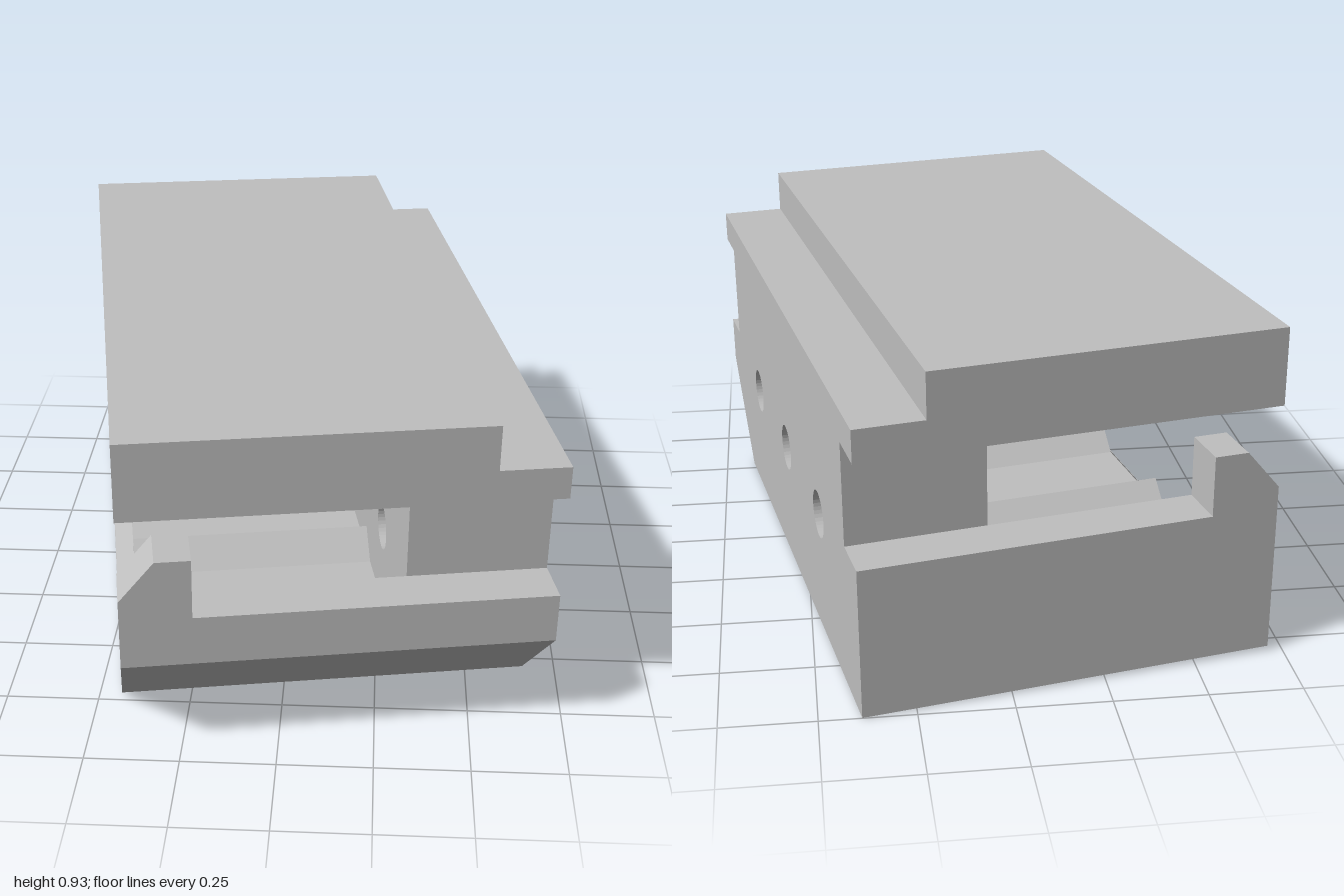
import * as THREE from 'three';

export function createModel() {
  const model = new THREE.Group();
  const body = new THREE.Group();
  body.name = 'enclosure';
  const grey = new THREE.MeshStandardMaterial({ color: 0xbfbfbf });
  grey.name = 'grey';

  // Half length, inner half length, and stations across the width
  const L = 0.92, IN = 0.788;
  const LEFT = -0.558, LIP = -0.505, WALL = 0.186, STEP = 0.375, RIGHT = 0.558;

  const toShape = pts => new THREE.Shape(pts.map(p => new THREE.Vector2(...p)));
  const add = (geo, name) => {
    const mesh = new THREE.Mesh(geo, grey);
    mesh.name = name;
    body.add(mesh);
  };
  // (z, y) profile swept across the width
  const across = (shape, x0, x1, name) => add(
    new THREE.ExtrudeGeometry(shape, { depth: x1 - x0, bevelEnabled: false, curveSegments: 20 })
      .rotateY(-Math.PI / 2).translate(x1, 0, 0), name);
  // (x, y) profile swept along the length
  const along = (pts, z0, z1, name) => add(
    new THREE.ExtrudeGeometry(toShape(pts), { depth: z1 - z0, bevelEnabled: false })
      .translate(0, 0, z0), name);

  // Tray with a sloped front and an open left side
  across(toShape([
    [-L, 0], [0.645, 0], [L, 0.28], [L, 0.417], [IN, 0.417], [IN, 0.312],
    [0.49, 0.068], [-0.6, 0.068], [-IN, 0.312], [-IN, 0.417], [-L, 0.417],
  ]), LEFT, WALL, 'tray');

  // Raised floor with a bevelled lip
  along([[LEFT, 0.067], [WALL, 0.067], [WALL, 0.128], [LIP, 0.128]], -0.646, 0.563, 'trayFloor');

  // Triangular ribs on the floor
  for (const z of [-0.26, 0.18]) {
    across(toShape([[z - 0.08, 0.127], [z + 0.08, 0.127], [z, 0.203]]), LIP, WALL, 'floorRib');
  }

  // Thick side wall with notched ends and three through holes
  const side = toShape([
    [-L, 0], [0.645, 0], [L, 0.28], [L, 0.417], [IN, 0.417], [IN, 0.702], [L, 0.702],
    [L, 0.79], [-L, 0.79], [-L, 0.702], [-IN, 0.702], [-IN, 0.417], [-L, 0.417],
  ]);
  for (const z of [-0.465, -0.02, 0.425]) {
    const hole = new THREE.Path();
    hole.absarc(z, 0.35, 0.066, 0, Math.PI * 2, true);
    side.holes.push(hole);
  }
  across(side, WALL, RIGHT, 'sideWall');

  // Chamfered corner posts on the open side
  for (const z of [-L, IN]) {
    along([
      [LEFT, 0.417], [-0.376, 0.417], [-0.376, 0.584], [-0.467, 0.584], [LEFT, 0.475],
    ], z, z + L - IN, 'cornerPost');
  }

  // Lid: channel over the opening, plus the part resting on the side wall
  across(toShape([
    [-L, 0.702], [-IN, 0.702], [-IN, 0.845], [IN, 0.845], [IN, 0.702], [L, 0.702],
    [L, 0.913], [-L, 0.913],
  ]), LEFT, WALL, 'lid');
  across(toShape([[-L, 0.79], [L, 0.79], [L, 0.913], [-L, 0.913]]), WALL, STEP, 'lidShoulder');
  along([[LEFT, 0.846], [LIP, 0.788], [WALL, 0.788], [WALL, 0.846]], -IN, IN, 'lidCeiling');

  // The whole enclosure stands turned and very slightly tipped
  body.rotation.set(0, THREE.MathUtils.degToRad(10), -0.01, 'ZYX');
  body.position.y = 0.0066;
  model.add(body);
  return model;
}
